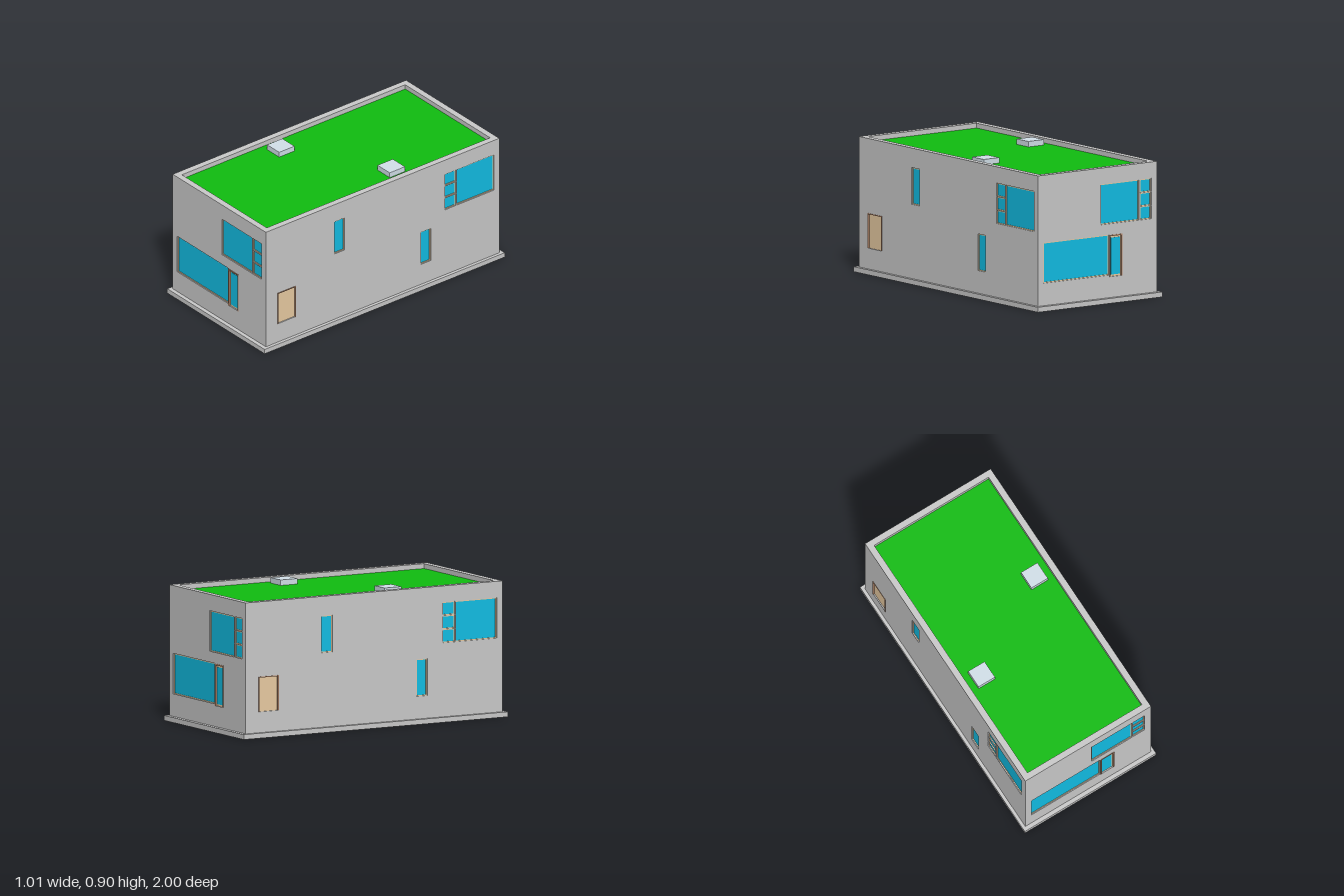
import * as THREE from 'three';

const mat = (color) => new THREE.MeshStandardMaterial({ color });
const GREY = mat(0xcccccc), GLASS = mat(0x12bfe6), FRAME = mat(0xebcda4),
  TRIM = mat(0xbe9073), GRASS = mat(0x10be10), HATCH = mat(0xd4e2eb);

const X = 0.483, Z = 0.972;      // outer wall faces
const IX = 0.44, IZ = 0.93;      // inner wall faces
const BASE = 0.033, TOP = 0.892; // footing top, parapet top
const SKIN = 0.014;              // depth of the window reveals

function add(parent, name, geometry, material) {
  const mesh = new THREE.Mesh(geometry, material);
  mesh.name = name;
  parent.add(mesh);
  return mesh;
}

function box(parent, name, material, x0, x1, y0, y1, z0, z1) {
  const mesh = add(parent, name, new THREE.BoxGeometry(x1 - x0, y1 - y0, z1 - z0), material);
  mesh.position.set((x0 + x1) / 2, (y0 + y1) / 2, (z0 + z1) / 2);
  return mesh;
}

const polygon = (points) => points.map(([x, y]) => new THREE.Vector2(x, y));
const rect = (x0, x1, y0, y1) => polygon([[x0, y0], [x1, y0], [x1, y1], [x0, y1]]);

function extrude(outline, holes, depth) {
  const shape = new THREE.Shape(outline);
  holes.forEach((h) => shape.holes.push(new THREE.Path(h)));
  return new THREE.ExtrudeGeometry(shape, { depth, bevelEnabled: false });
}

// Plan outline (x, -z) raised from y0 to y1
const plan = (outline, holes, y0, y1) =>
  extrude(outline, holes, y1 - y0).rotateX(-Math.PI / 2).translate(0, y0, 0);

// Glazing with a narrow frame, set back from the wall face at z = 0
function addWindow(parent, [x0, x1, y0, y1]) {
  const f = 0.006;
  const ring = extrude(rect(x0, x1, y0, y1), [rect(x0 + f, x1 - f, y0 + f, y1 - f)], 0.008);
  add(parent, 'windowFrame', ring.translate(0, 0, -SKIN), FRAME);
  box(parent, 'windowGlass', GLASS, x0 + f, x1 - f, y0 + f, y1 - f, -SKIN, -0.01);
}

// Door with trim at both sides and above, optionally glazed
function addDoor(parent, [x0, x1, y0, y1], trim, glazed) {
  const out = 0.003;
  box(parent, 'doorJamb', TRIM, x0, x0 + trim, y0, y1, -SKIN, out);
  box(parent, 'doorJamb', TRIM, x1 - trim, x1, y0, y1, -SKIN, out);
  box(parent, 'doorLintel', TRIM, x0 + trim, x1 - trim, y1 - trim, y1, -SKIN, out);
  box(parent, 'doorLeaf', FRAME, x0 + trim, x1 - trim, y0, y1 - trim, -SKIN, -0.008);
  if (glazed) {
    box(parent, 'doorGlass', GLASS, x0 + 0.016, x1 - 0.016, y0 + 0.012, y1 - 0.02, -0.009, -0.006);
  }
}

// One outside wall, facing +z with its face at z = 0
function facade(name, halfWidth, windows, door, trim, glazed) {
  const group = new THREE.Group();
  group.name = name;
  const holes = [...windows, door].map((r) => rect(...r));
  const wall = extrude(rect(-halfWidth, halfWidth, BASE, TOP), holes, SKIN);
  add(group, 'outerWall', wall.translate(0, 0, -SKIN), GREY);
  windows.forEach((w) => addWindow(group, w));
  addDoor(group, door, trim, glazed);
  return group;
}

// Three small panes stacked
const stack = (x0, x1) => [0.519, 0.608, 0.698].map((y) => [x0, x1, y, y + 0.087]);

export function createModel() {
  const model = new THREE.Group();
  model.name = 'house';

  // Footing with two L-shaped openings below
  const room = [[0.41, 0.05], [0.41, -0.91], [-0.41, -0.91], [-0.41, -0.17], [0.04, -0.17], [0.04, 0.05]];
  const opposite = room.map(([x, y]) => [-x, -y]);
  add(model, 'footing', plan(rect(-0.505, 0.505, -1, 1), [polygon(room), polygon(opposite)], 0, BASE), GREY);

  // Inner wall shell, rising to the parapet
  add(model, 'wallShell', plan(rect(-X + SKIN, X - SKIN, -Z + SKIN, Z - SKIN),
    [rect(-IX, IX, -IZ, IZ)], BASE, TOP), GREY);

  // Stepped partition under the ground floor
  const step = polygon([[IX, 0.075], [IX, 0.145], [-0.018, 0.145], [-0.018, -0.075],
    [-IX, -0.075], [-IX, -0.145], [0.018, -0.145], [0.018, 0.075]]);
  add(model, 'partition', plan(step, [], BASE, 0.145), GREY);

  // Floor and planted roof
  box(model, 'groundFloor', GREY, -IX, IX, 0.145, 0.17, -IZ, IZ);
  box(model, 'roofSlab', GREY, -IX, IX, 0.82, 0.85, -IZ, IZ);
  box(model, 'greenRoof', GRASS, -IX, IX, 0.85, 0.86, -IZ, IZ);

  // Each half of the house is the other turned half way round
  for (const turn of [0, Math.PI]) {
    const half = new THREE.Group();
    half.name = turn ? 'backHalf' : 'frontHalf';
    half.rotation.y = turn;

    const end = facade('endWall', X,
      [[0.027, 0.337, 0.519, 0.785], ...stack(0.344, 0.435), [-0.437, 0.092, 0.181, 0.447]],
      [0.096, 0.2, 0.17, 0.445], 0.008, true);
    end.position.z = Z;

    const side = facade('sideWall', Z - SKIN,
      [[0.618, 0.928, 0.519, 0.785], ...stack(0.52, 0.611),
        [-0.4, -0.316, 0.522, 0.764], [0.32, 0.402, 0.182, 0.424]],
      [-0.875, -0.723, 0.17, 0.4], 0.006, false);
    side.position.x = X;
    side.rotation.y = Math.PI / 2;

    half.add(end, side);
    box(half, 'roofHatch', HATCH, 0.265, 0.391, 0.86, 0.896, -0.26, -0.133);
    model.add(half);
  }
  return model;
}
